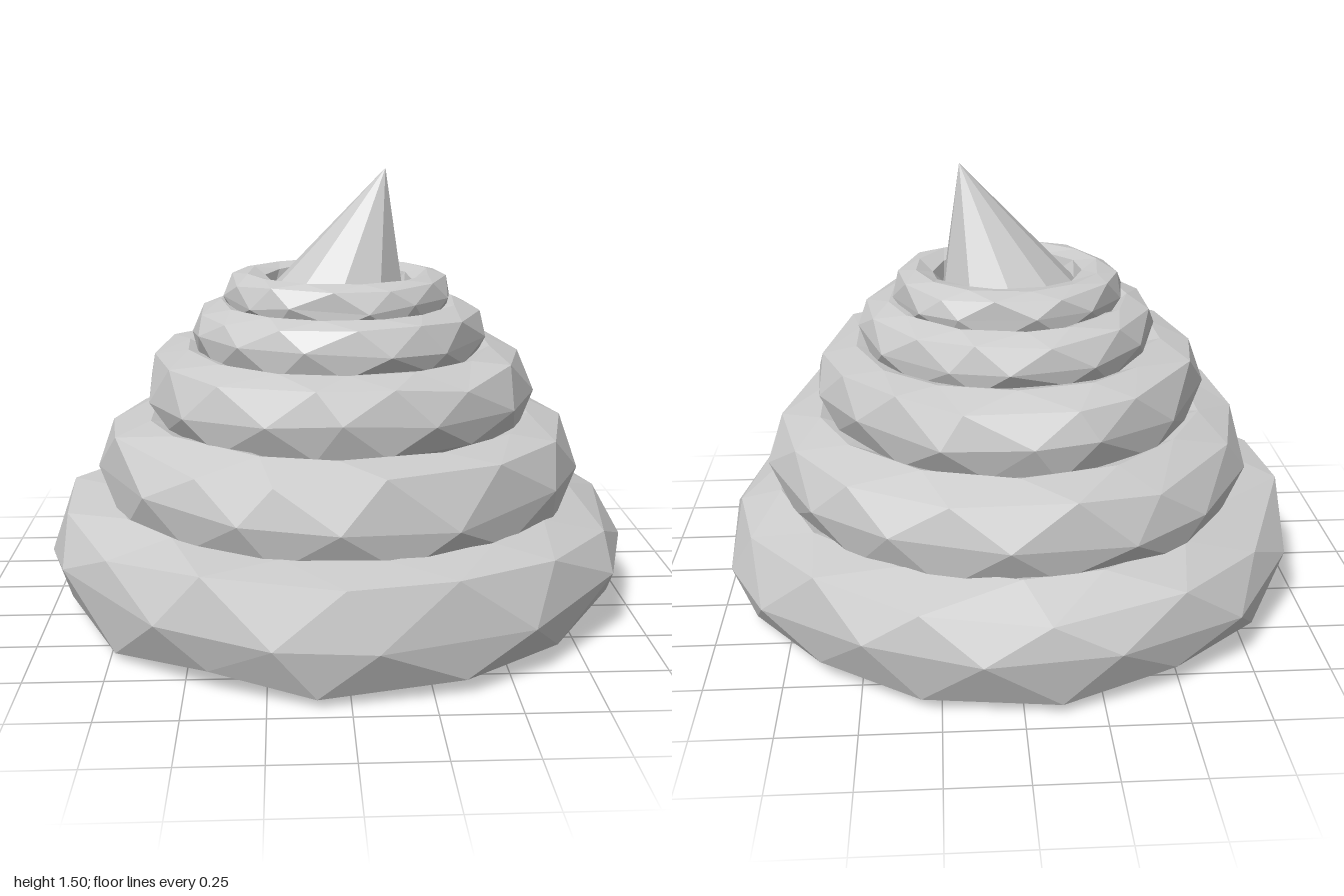
import * as THREE from 'three';

const material = new THREE.MeshStandardMaterial({ color: 0xcccccc, flatShading: true, side: THREE.DoubleSide });

// small repeatable generator for the hand-shaped unevenness
function seeded(seed) {
  let s = seed;
  return () => {
    s = (s * 16807) % 2147483647;
    return s / 2147483647 - 0.5;
  };
}

// faceted ring: every second row is turned half a step, giving diamond facets
function coilGeometry(outer, bottom, top, segments, seed) {
  const rows = 8;
  const rand = seeded(seed);
  const tube = (top - bottom) / 2;
  const radius = outer - tube;
  const positions = [];
  const index = [];
  for (let j = 0; j < rows; j++) {
    const a = (j / rows) * Math.PI * 2;
    const size = j % 2 ? tube * 1.06 : tube;
    for (let i = 0; i < segments; i++) {
      const t = ((i + (j % 2) / 2 + rand() * 0.35) / segments) * Math.PI * 2 + seed;
      const r = radius + Math.cos(a) * size + rand() * tube * 0.08;
      // the crown and foot rows stay level so that the coils rest on each other
      const wobble = j === 2 || j === 6 ? 0 : rand() * tube * 0.3;
      const y = (bottom + top) / 2 + Math.sin(a) * size + wobble;
      positions.push(Math.sin(t) * r, Math.min(Math.max(y, bottom), top), Math.cos(t) * r);
    }
  }
  for (let j = 0; j < rows; j++) {
    const k = (j + 1) % rows;
    for (let i = 0; i < segments; i++) {
      const n = (i + 1) % segments;
      const a = j * segments + i, b = j * segments + n;
      const c = k * segments + i, d = k * segments + n;
      if (j % 2 === 0) index.push(a, b, c, b, d, c);
      else index.push(a, d, c, a, b, d);
    }
  }
  const geometry = new THREE.BufferGeometry();
  geometry.setAttribute('position', new THREE.Float32BufferAttribute(positions, 3));
  geometry.setIndex(index);
  const flat = geometry.toNonIndexed();
  flat.computeVertexNormals();
  return flat;
}

export function createModel() {
  const model = new THREE.Group();
  model.name = 'swirl';

  // stacked coils, each sunk into the one below: outer radius, bottom, top, segments, seed
  const coils = [
    [1.005, 0.0, 0.4, 15, 19],
    [0.84, 0.32, 0.67, 14, 48],
    [0.675, 0.61, 0.9, 14, 79],
    [0.51, 0.85, 1.05, 13, 110],
    [0.395, 0.99, 1.15, 12, 141],
  ];
  coils.forEach(([outer, bottom, top, segments, seed], i) => {
    const coil = new THREE.Mesh(coilGeometry(outer, bottom, top, segments, seed), material);
    coil.name = 'coil' + (i + 1);
    model.add(coil);
  });

  // leaning tip: a cone sheared so that its point sits to one side
  const height = 0.42;
  const cone = new THREE.ConeGeometry(0.24, height, 10);
  cone.translate(0, height / 2, 0);
  const p = cone.attributes.position;
  for (let i = 0; i < p.count; i++) p.setX(i, p.getX(i) + (p.getY(i) / height) * 0.17);
  cone.computeVertexNormals();
  const tip = new THREE.Mesh(cone, material);
  tip.name = 'tip';
  tip.position.set(-0.01, 1.08, 0);
  model.add(tip);

  return model;
}
